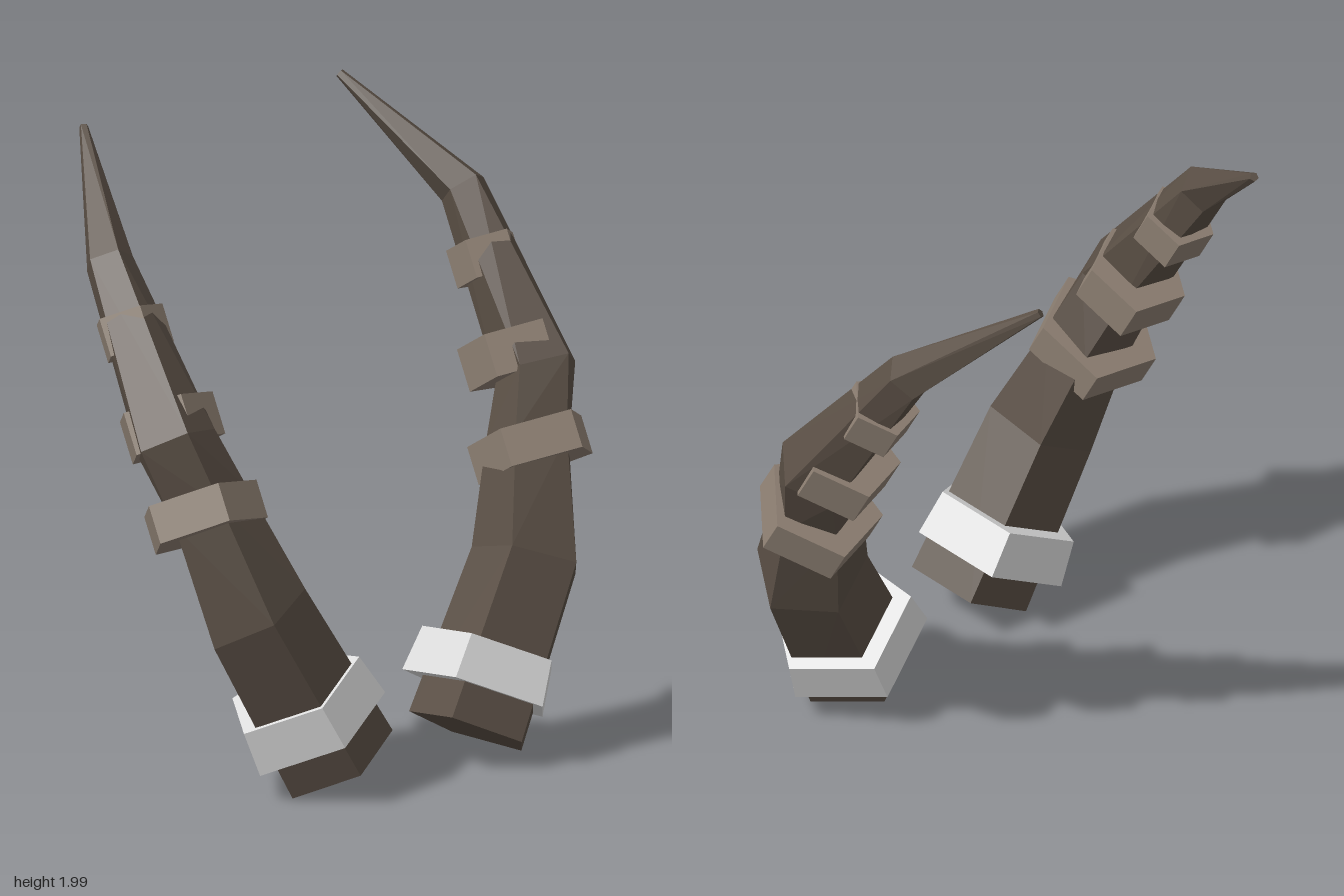
import * as THREE from 'three';

const mat = (name, color) => {
  const m = new THREE.MeshStandardMaterial({ color, flatShading: true });
  m.name = name;
  return m;
};

const SIDES = 5;
const TWIST = THREE.MathUtils.degToRad(12);

// Pentagon of points around a centre, square to a direction; first corner faces the front
function ring([x, y, z], dir, radius) {
  const n = new THREE.Vector3(...dir).normalize();
  const u = new THREE.Vector3(0, 0, 1).addScaledVector(n, -n.z).normalize();
  const v = new THREE.Vector3().crossVectors(n, u);
  return Array.from({ length: SIDES }, (_, i) => {
    const a = TWIST + (i / SIDES) * Math.PI * 2;
    return new THREE.Vector3(x, y, z)
      .addScaledVector(u, Math.cos(a) * radius)
      .addScaledVector(v, Math.sin(a) * radius);
  });
}

// Closed faceted skin over a list of rings; side -1 mirrors it in x
function loft(rings, side) {
  const pos = [];
  const tri = (a, b, c) => {
    for (const p of side > 0 ? [a, b, c] : [a, c, b]) pos.push(p.x * side, p.y, p.z);
  };
  for (let r = 0; r < rings.length - 1; r++) {
    const lo = rings[r], hi = rings[r + 1];
    for (let i = 0; i < SIDES; i++) {
      const j = (i + 1) % SIDES;
      tri(lo[i], lo[j], hi[j]);
      tri(lo[i], hi[j], hi[i]);
    }
  }
  const first = rings[0], last = rings[rings.length - 1];
  for (let i = 1; i < SIDES - 1; i++) {
    tri(first[0], first[i + 1], first[i]);
    tri(last[0], last[i], last[i + 1]);
  }
  const g = new THREE.BufferGeometry();
  g.setAttribute('position', new THREE.Float32BufferAttribute(pos, 3));
  g.computeVertexNormals();
  return g;
}

// Short prism around a centre, optionally tapered
function band(center, dir, height, r0, r1 = r0) {
  const n = new THREE.Vector3(...dir).normalize();
  const c = new THREE.Vector3(...center);
  return [[-0.5, r0], [0.5, r1]].map(([t, r]) =>
    ring(c.clone().addScaledVector(n, t * height).toArray(), dir, r));
}

export function createModel() {
  const model = new THREE.Group();
  model.name = 'hornPair';
  const horn = mat('dark horn', 0x5a4f45);
  const ridge = mat('light horn', 0x8e8073);
  const metal = mat('pale metal', 0xdcdcdc);

  // Curved horn from base to tip
  const hornRings = [
    ring([0.27, 0.105, 0.40], [0.46, 0.88, -0.11], 0.205),
    ring([0.545, 0.607, 0.34], [0.42, 0.88, -0.22], 0.185),
    ring([0.64, 0.95, 0.225], [0.25, 0.88, -0.38], 0.143),
    ring([0.72, 1.16, 0.155], [0.05, 0.85, -0.5], 0.138),
    ring([0.70, 1.67, -0.21], [-0.15, 0.75, -0.65], 0.08),
    ring([0.505, 1.99, -0.595], [-0.4, 0.65, -0.7], 0.015),
  ];
  const collar = band([0.364, 0.277, 0.357], [0.45, 0.885, -0.11], 0.15, 0.255, 0.235);

  // Raised growth ridges
  const ridgeDir = [0, 0.88, -0.48];
  const ridges = [
    band([0.655, 0.925, 0.215], ridgeDir, 0.125, 0.2),
    band([0.68, 1.19, 0.078], ridgeDir, 0.14, 0.165),
    band([0.70, 1.465, -0.084], ridgeDir, 0.125, 0.117),
  ];

  for (const side of [1, -1]) {
    const group = new THREE.Group();
    group.name = side > 0 ? 'leftHorn' : 'rightHorn';
    const add = (name, rings, material) => {
      const mesh = new THREE.Mesh(loft(rings, side), material);
      mesh.name = name;
      group.add(mesh);
    };
    add('hornBody', hornRings, horn);
    add('collar', collar, metal);
    ridges.forEach((r, i) => add('ridge' + (i + 1), r, ridge));
    model.add(group);
  }
  return model;
}
